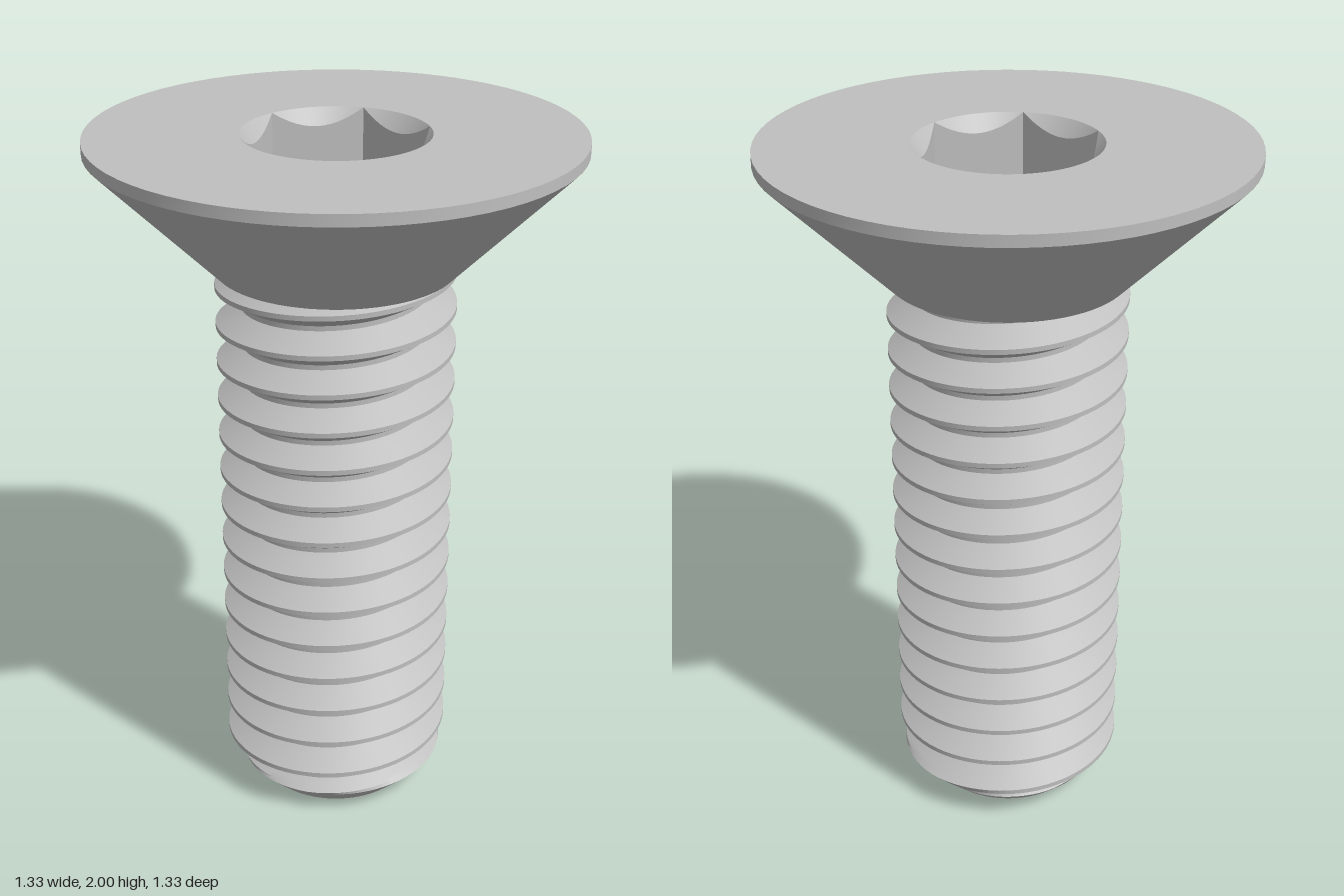
import * as THREE from 'three';
import { toCreasedNormals } from 'three/addons/utils/BufferGeometryUtils.js';

const TOP = 2, NECK = 1.633, SIDES = 72;
const HEAD_R = 0.667, CREST_R = 0.333, ROOT_R = 0.262, TIP_R = 0.233;
const PITCH = 1 / 9, CREST_HALF = 0.007, FLANK = 0.0415;
const FLAT = 0.222, CORNER = FLAT / Math.cos(Math.PI / 6), SOCKET_DEPTH = 0.278;

// Sweeps a profile around the y axis; profile(angle) returns [radius, y] pairs.
function sweep(profile) {
  const cols = [];
  for (let i = 0; i <= SIDES; i++) {
    const a = (i / SIDES) * Math.PI * 2;
    cols.push(profile(a).map(([r, y]) => new THREE.Vector3(r * Math.cos(a), y, -r * Math.sin(a))));
  }
  const pos = [];
  const tri = new THREE.Triangle();
  const add = (a, b, c) => {
    tri.set(a, b, c);
    if (tri.getArea() > 1e-8) pos.push(...a.toArray(), ...b.toArray(), ...c.toArray());
  };
  for (let i = 0; i < SIDES; i++) {
    const p = cols[i], q = cols[i + 1];
    for (let j = 0; j < p.length - 1; j++) {
      add(p[j], q[j], q[j + 1]);
      add(p[j], q[j + 1], p[j + 1]);
    }
  }
  const g = new THREE.BufferGeometry();
  g.setAttribute('position', new THREE.Float32BufferAttribute(pos, 3));
  return toCreasedNormals(g, Math.PI / 7);
}

// Countersunk head with a thin rim and a flat top around the socket
const headProfile = () => [
  [0, NECK], [CREST_R, NECK], [HEAD_R, 1.968], [HEAD_R, TOP], [CORNER, TOP],
];

// Hexagonal socket, corners on the z axis, with a conical lead-in
function socketProfile(a) {
  const sector = Math.PI / 3;
  const off = (((a - Math.PI / 6) % sector) + sector) % sector - sector / 2;
  const r = Math.min(CORNER, FLAT / Math.cos(off));
  const floor = TOP - SOCKET_DEPTH;
  return [[CORNER, TOP], [r, TOP - (CORNER - r) * 1.3], [r, floor], [0, floor]];
}

// Right-handed thread: radius at a height, cut by the 45 degree tip chamfer
function threadRadius(a, y) {
  const u = (y - 0.094) / PITCH - a / (2 * Math.PI);
  const d = Math.abs(u - Math.round(u)) * PITCH;
  const t = THREE.MathUtils.clamp((d - CREST_HALF) / FLANK, 0, 1);
  return Math.min(CREST_R + (ROOT_R - CREST_R) * t, TIP_R + y);
}

// Rows follow the helix so that crests and roots stay crisp
function threadProfile(a) {
  const steps = [];
  for (let i = 0; i <= 5; i++) steps.push(-CREST_HALF - FLANK * (1 - i / 5));
  for (let i = 0; i <= 5; i++) steps.push(CREST_HALF + FLANK * (i / 5));
  const rows = [[0, 0]];
  for (let turn = -3; turn <= 16; turn++) {
    for (const s of steps) {
      const helix = 0.094 + (turn + a / (2 * Math.PI)) * PITCH + s;
      const y = THREE.MathUtils.clamp(helix, 0, NECK);
      rows.push([threadRadius(a, y), y]);
    }
  }
  return rows;
}

export function createModel() {
  const steel = new THREE.MeshStandardMaterial({ color: 0xbfbfbf });
  steel.name = 'grey steel';
  const model = new THREE.Group();
  model.name = 'countersunkScrew';
  const parts = { head: headProfile, hexSocket: socketProfile, threadedShank: threadProfile };
  for (const [name, profile] of Object.entries(parts)) {
    const mesh = new THREE.Mesh(sweep(profile), steel);
    mesh.name = name;
    model.add(mesh);
  }
  return model;
}
